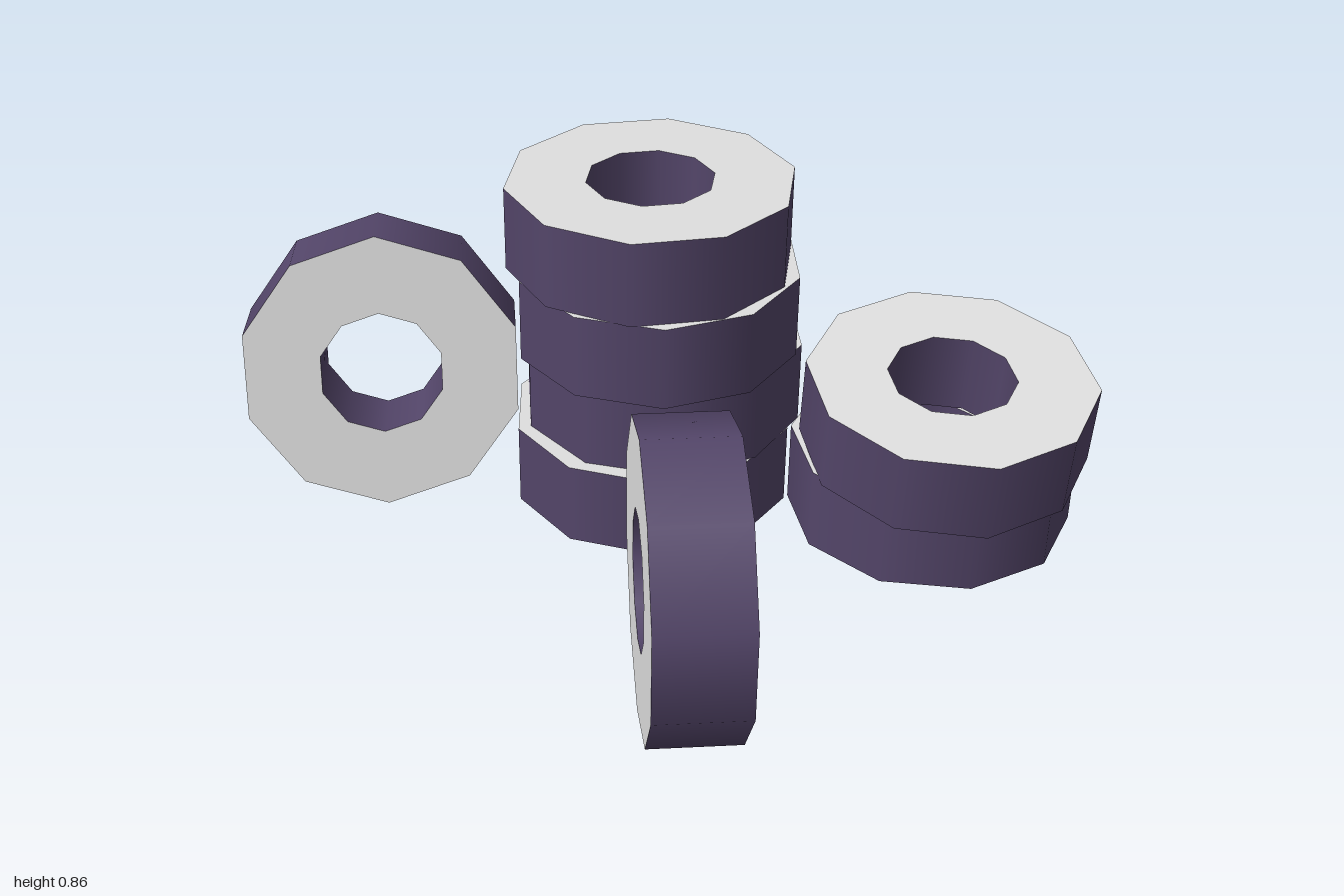
import * as THREE from 'three';

const SIDES = 10, OUTER = 0.343, HOLE = 0.152, HALF = 0.1025;
const deg = THREE.MathUtils.degToRad;

export function createModel() {
  const model = new THREE.Group();
  model.name = 'tirePile';

  const rubber = new THREE.MeshStandardMaterial({ color: 0x54466a });
  rubber.name = 'purple rubber';
  const sidewall = new THREE.MeshStandardMaterial({ color: 0xe0e0e0 });
  sidewall.name = 'pale grey sidewall';

  // Smooth wall; drawn upward it faces out, downward it faces in
  const wall = (r, y0, y1) =>
    new THREE.LatheGeometry([new THREE.Vector2(r, y0), new THREE.Vector2(r, y1)], SIDES);
  const treadGeo = wall(OUTER, -HALF, HALF);
  const boreGeo = wall(HOLE, HALF, -HALF);

  // Flat ring for either side, with a corner on the z axis like the walls
  const ring = (dir) => new THREE.RingGeometry(HOLE, OUTER, SIDES, 1, Math.PI / 2)
    .rotateX(-dir * Math.PI / 2).translate(0, dir * HALF, 0);
  const topGeo = ring(1), bottomGeo = ring(-1);

  function addTire(name, [x, y, z], rx, ry, rz = 0) {
    const tire = new THREE.Group();
    tire.name = name;
    for (const [part, geo, mat] of [
      ['tread', treadGeo, rubber], ['bore', boreGeo, rubber],
      ['upperSidewall', topGeo, sidewall], ['lowerSidewall', bottomGeo, sidewall],
    ]) {
      const mesh = new THREE.Mesh(geo, mat);
      mesh.name = part;
      tire.add(mesh);
    }
    tire.position.set(x, y, z);
    tire.rotation.set(rx, ry, rz, 'YXZ');
    model.add(tire);
  }

  // Tall stack of four, each slightly shifted and turned
  [[-0.046, -0.3, -9.5], [-0.038, -0.337, -6.5], [-0.035, -0.297, -8], [-0.055, -0.297, 18]]
    .forEach(([x, z, turn], i) =>
      addTire('stackTire' + (i + 1), [x, 0.148 + i * 0.206, z], 0, deg(turn)));

  // Short stack of two, the upper one tilted
  addTire('shortStackLower', [0.623, 0.148, -0.472], 0, 0);
  addTire('shortStackUpper', [0.661, 0.356, -0.435], 0.095, 0, -0.068);

  // Tire leaning on the tall stack, and one standing upright
  addTire('leaningTire', [-0.657, 0.362, -0.044], deg(80), deg(30));
  addTire('standingTire', [0.398, 0.382, 0.473], deg(90), deg(-60));

  return model;
}
